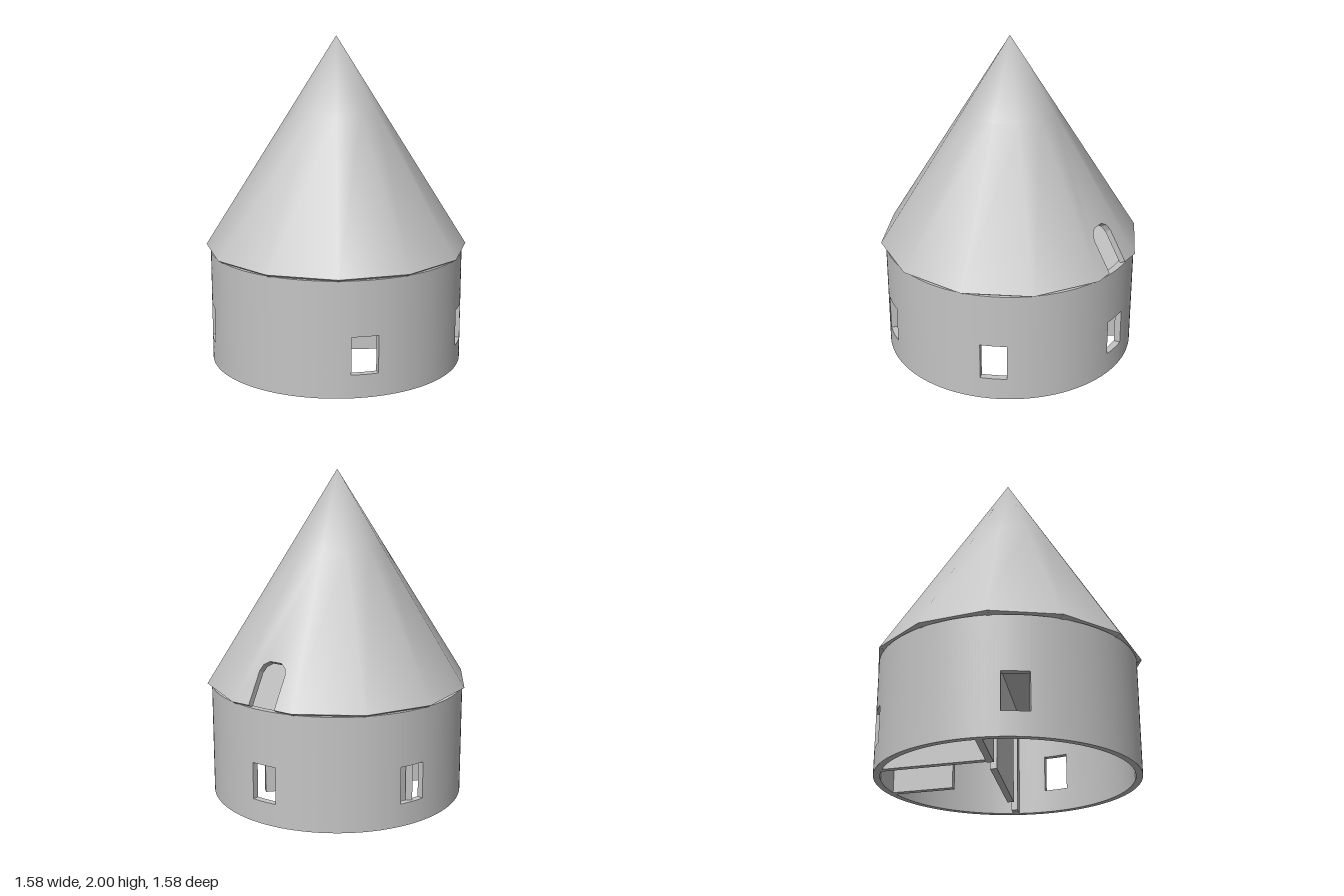
import * as THREE from 'three';
import { toCreasedNormals } from 'three/addons/utils/BufferGeometryUtils.js';

const rad = THREE.MathUtils.degToRad;

export function createModel() {
  const model = new THREE.Group();
  const plaster = new THREE.MeshStandardMaterial({ color: 0xc4c4c4 });
  plaster.name = 'grey plaster';

  const add = (name, geometry, parent = model) => {
    const mesh = new THREE.Mesh(geometry, plaster);
    mesh.name = name;
    parent.add(mesh);
    return mesh;
  };
  const group = (name, turn = 0) => {
    const g = new THREE.Group();
    g.name = name;
    g.rotation.y = turn;
    model.add(g);
    return g;
  };

  // Round outer wall: full-height curved blocks, with sill and head blocks at each window
  const OUTER = 0.78, INNER = 0.74, WALL_TOP = 0.695, SILL = 0.14, HEAD = 0.365;
  const wall = group('roundWall');

  // Angles run from +x towards +z
  const wallBlock = (name, a0, a1, y0, y1) => {
    const shape = new THREE.Shape();
    shape.absarc(0, 0, OUTER, a0, a1, false);
    shape.absarc(0, 0, INNER, a1, a0, true);
    shape.closePath();
    const geometry = new THREE.ExtrudeGeometry(shape, {
      depth: y1 - y0, bevelEnabled: false, curveSegments: Math.ceil((a1 - a0) / rad(3)),
    });
    geometry.rotateX(Math.PI / 2).translate(0, y1, 0);
    add(name, toCreasedNormals(geometry, rad(30)), wall);
  };

  const windows = [0, 62, 152.3, 231, 297.7].map(rad);
  const half = Math.asin(0.08 / OUTER);
  windows.forEach((a, i) => {
    const next = i + 1 < windows.length ? windows[i + 1] : 2 * Math.PI;
    wallBlock('windowSill', a - half, a + half, 0, SILL);
    wallBlock('windowHead', a - half, a + half, HEAD, WALL_TOP);
    wallBlock('wallBetweenWindows', a + half, next - half, 0, WALL_TOP);
  });

  // Ceiling slab closing the rooms below the roof
  const ceiling = new THREE.CylinderGeometry(0.75, 0.75, 0.03, 64);
  add('ceiling', ceiling).position.y = 0.675;

  // Partitions with doorways
  const T = 0.04, CEILING = 0.665;
  const partition = (parent, name, x0, x1, z0, z1, y0 = 0) => {
    const mesh = add(name, new THREE.BoxGeometry(x1 - x0, CEILING - y0, z1 - z0), parent);
    mesh.position.set((x0 + x1) / 2, (y0 + CEILING) / 2, (z0 + z1) / 2);
  };
  const main = group('mainPartitions', rad(16.7));
  for (const [x0, x1] of [[-0.745, -0.35], [-0.23, 0.47], [0.65, 0.745]])
    partition(main, 'mainPartition', x0, x1, -0.07, -0.07 + T);
  for (const [x0, x1] of [[-0.35, -0.23], [0.47, 0.65]])
    partition(main, 'doorLintel', x0, x1, -0.07, -0.07 + T, 0.5);
  const side = group('sidePartitions', rad(8));
  partition(side, 'sidePartition', -0.405, -0.365, -0.65, -0.01);
  partition(side, 'sidePartition', 0.05, 0.09, -0.745, -0.36);
  partition(side, 'doorLintel', 0.05, 0.09, -0.36, -0.07, 0.56);

  // Twelve-sided roof of thick panels; the first has an arched dormer opening
  const EAVE = 0.71, TOP = 2, CORNER = 0.81, SIDES = 12;
  const apothem = CORNER * Math.cos(Math.PI / SIDES);
  const edge = CORNER * Math.sin(Math.PI / SIDES);
  const rise = TOP - EAVE;
  const slope = Math.hypot(apothem, rise);
  const tilt = Math.atan2(apothem, rise);
  const tip = 0.35;             // share of the roof that belongs to the pointed cap
  const turn = rad(151.7);      // direction of the dormer
  const dormer = [[-0.09, 0], [-0.09, 0.21], [-0.075, 0.25], [-0.04, 0.275],
    [0.04, 0.275], [0.075, 0.25], [0.09, 0.21], [0.09, 0]];

  const roof = group('roof');
  for (let i = 0; i < SIDES; i++) {
    const outline = [
      [-edge, 0], ...(i === 0 ? dormer : []), [edge, 0],
      [edge * tip, slope * (1 - tip)], [-edge * tip, slope * (1 - tip)],
    ].map(([x, y]) => new THREE.Vector2(x, y));
    const panel = new THREE.ExtrudeGeometry(new THREE.Shape(outline), { depth: 0.04, bevelEnabled: false });
    panel.translate(0, 0, -0.04);
    const { position, normal } = panel.attributes;
    // Round the shading of the outer face across neighbouring panels
    for (let v = 0; v < position.count; v++) {
      if (normal.getZ(v) < 0.9) continue;
      const y = position.getY(v);
      const bend = Math.atan2(position.getX(v), apothem * (1 - y / slope));
      const n = new THREE.Vector3(Math.sin(bend) * Math.cos(tilt), Math.sin(tilt), Math.cos(bend) * Math.cos(tilt));
      n.applyAxisAngle(new THREE.Vector3(1, 0, 0), tilt);
      normal.setXYZ(v, n.x, n.y, n.z);
    }
    panel.rotateX(-tilt).translate(0, EAVE, apothem).rotateY(turn + (i * 2 * Math.PI) / SIDES);
    add('roofPanel', panel, roof);
  }

  // Pointed cap with a softly shaded apex
  const cap = new THREE.ConeGeometry(CORNER * tip, rise * tip, SIDES, 1, true);
  const capNormal = cap.attributes.normal;
  for (let v = 0; v < capNormal.count; v++)
    if (cap.attributes.position.getY(v) > 0) capNormal.setXYZ(v, 0, 1, 0);
  cap.rotateY(turn + Math.PI / SIDES).translate(0, TOP - (rise * tip) / 2, 0);
  add('roofCap', cap, roof);

  // Inner face of the cap, seen from inside the roof
  const lining = new THREE.ConeGeometry(CORNER * tip - 0.03, rise * tip - 0.05, SIDES, 1, true);
  lining.rotateY(turn + Math.PI / SIDES).translate(0, TOP - 0.05 - (rise * tip - 0.05) / 2, 0);
  lining.setIndex([...lining.index.array].reverse());
  lining.computeVertexNormals();
  add('capLining', lining, roof);

  return model;
}
